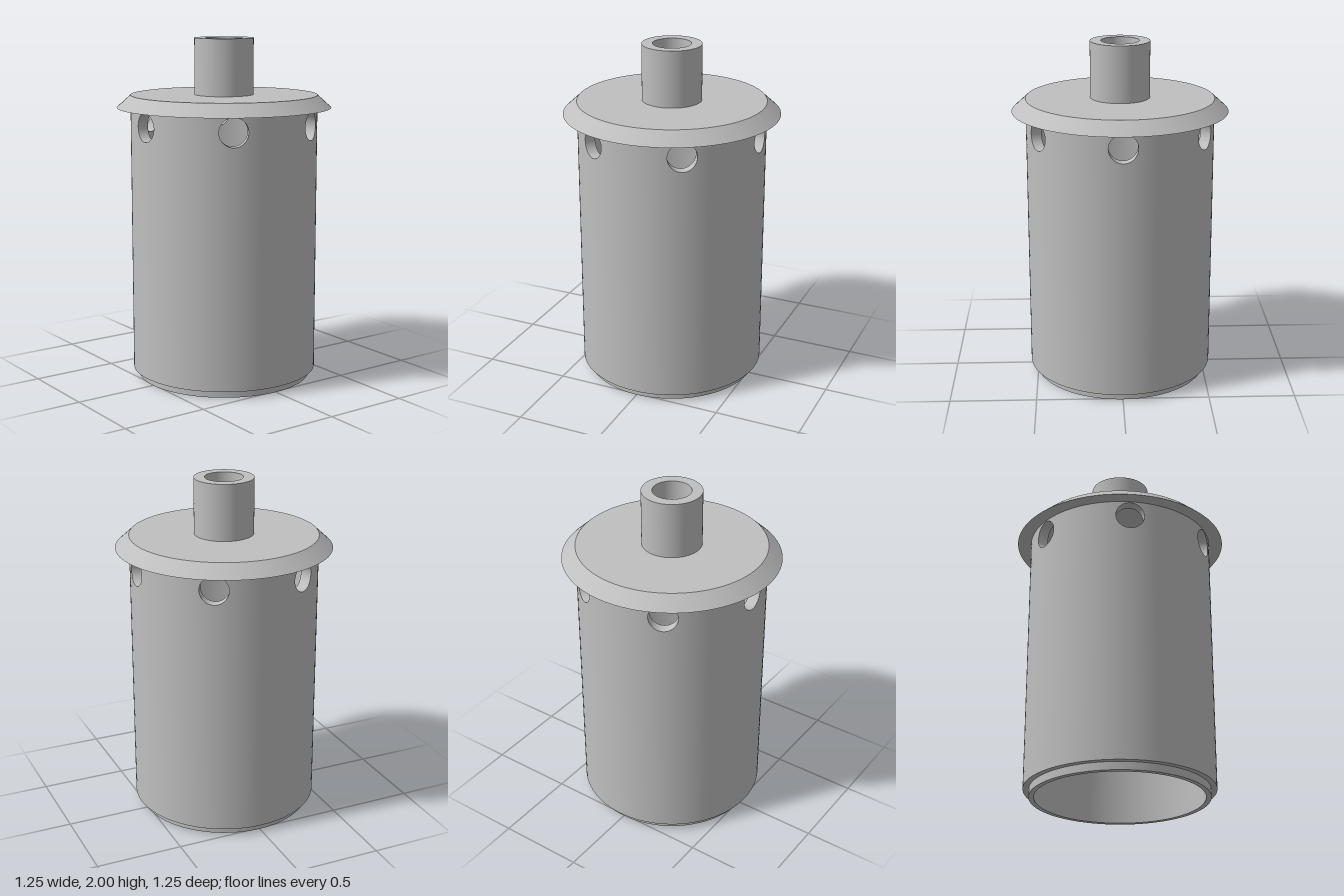
import * as THREE from 'three';
import { mergeGeometries } from 'three/addons/utils/BufferGeometryUtils.js';

const SEGMENTS = 96;
const OUTER = 0.544, INNER = 0.48;               // wall radii
const HOLE_R = 0.082, HOLE_Y = 1.512;            // side holes
const BAND_LOW = 1.4, BAND_TOP = 1.6;            // part of the wall holding the holes
const HOLES = 6, AROUND = 64, RINGS = 6;

// Turned part with a hard edge at every profile point
function turned(profile) {
  const strips = [];
  for (let i = 0; i < profile.length - 1; i++) {
    const pair = [profile[i], profile[i + 1]].map(([r, y]) => new THREE.Vector2(r, y));
    strips.push(new THREE.LatheGeometry(pair, SEGMENTS));
  }
  return mergeGeometries(strips);
}

// Closed-loop grid; point(i, j) gives a position, i running around and j across
function loopGrid(rows, point, flip) {
  const positions = [], index = [];
  for (let j = 0; j <= rows; j++)
    for (let i = 0; i < AROUND; i++) positions.push(...point(i, j));
  for (let j = 0; j < rows; j++)
    for (let i = 0; i < AROUND; i++) {
      const n = (i + 1) % AROUND;
      const a = j * AROUND + i, b = j * AROUND + n;
      const c = a + AROUND, d = b + AROUND;
      if (flip) index.push(a, b, c, b, d, c);
      else index.push(a, c, b, b, c, d);
    }
  const g = new THREE.BufferGeometry();
  g.setAttribute('position', new THREE.Float32BufferAttribute(positions, 3));
  g.setIndex(index);
  g.computeVertexNormals();
  return g;
}

const onWall = (radius, angle, y) => [radius * Math.sin(angle), y, radius * Math.cos(angle)];

// Rim of a round hole, as angle and height on a wall of the given radius
function rim(radius, i) {
  const t = (i / AROUND) * Math.PI * 2 - Math.PI / 4;
  return [Math.asin((HOLE_R * Math.cos(t)) / radius), HOLE_Y + HOLE_R * Math.sin(t)];
}

// Evenly spaced border of one wall panel, starting at its lower right corner
function border(i) {
  const side = Math.floor(i / (AROUND / 4));
  const s = (i % (AROUND / 4)) / (AROUND / 4) * 2 - 1;
  const [u, v] = [[1, s], [-s, 1], [-1, -s], [s, -1]][side];
  return [u * Math.PI / HOLES, THREE.MathUtils.lerp(BAND_LOW, BAND_TOP, (v + 1) / 2)];
}

// Curved panel with a round hole in it
function panel(radius, inward) {
  const g = loopGrid(RINGS, (i, j) => {
    const [a0, y0] = rim(radius, i), [a1, y1] = border(i), k = j / RINGS;
    return onWall(radius, a0 + (a1 - a0) * k, y0 + (y1 - y0) * k);
  }, inward);
  // Exact radial normals keep neighbouring panels seamless
  const p = g.attributes.position, n = g.attributes.normal, s = inward ? -1 : 1;
  for (let i = 0; i < p.count; i++)
    n.setXYZ(i, s * p.getX(i) / radius, 0, s * p.getZ(i) / radius);
  return g;
}

// Side of the hole through the wall
function holeLining() {
  return loopGrid(1, (i, j) => {
    const radius = j ? OUTER : INNER;
    return onWall(radius, ...rim(radius, i));
  }, false);
}

export function createModel() {
  const grey = new THREE.MeshStandardMaterial({ color: 0xbfbfbf });
  grey.name = 'grey';
  const model = new THREE.Group();
  model.name = 'ventedHousing';
  const add = (name, geometry, parent = model) => {
    const mesh = new THREE.Mesh(geometry, grey);
    mesh.name = name;
    parent.add(mesh);
    return mesh;
  };

  // Hollow body with a stepped lip at the open bottom
  add('body', turned([
    [INNER, BAND_LOW], [INNER, 0], [0.51, 0], [0.51, 0.045],
    [OUTER, 0.045], [OUTER, BAND_LOW],
  ]));

  // Ring of six side holes under the cap
  const band = new THREE.Group();
  band.name = 'ventBand';
  model.add(band);
  const section = mergeGeometries([panel(OUTER, false), panel(INNER, true), holeLining()]);
  // Panel borders run counterclockwise seen from outside, so check the facing once
  const idx = section.index, p = section.attributes.position;
  const [a, b, c] = [0, 1, 2].map(k => new THREE.Vector3().fromBufferAttribute(p, idx.getX(k)));
  const facing = b.clone().sub(a).cross(c.clone().sub(a));
  if (facing.z < 0) {
    for (let i = 0; i < idx.count; i += 3) {
      const t = idx.getX(i + 1);
      idx.setX(i + 1, idx.getX(i + 2));
      idx.setX(i + 2, t);
    }
    // The lining's computed normals turn round with its faces
    const n = section.attributes.normal, start = 2 * AROUND * (RINGS + 1);
    for (let i = start; i < n.count; i++) n.setXYZ(i, -n.getX(i), -n.getY(i), -n.getZ(i));
  }
  for (let k = 0; k < HOLES; k++)
    add('ventSection', section, band).rotation.y = Math.PI / 2 + k * Math.PI * 2 / HOLES;

  // Bevelled cap with its hollow neck
  add('capAndNeck', turned([
    [0.11, BAND_TOP], [0.624, BAND_TOP], [0.544, 1.673], [0.172, 1.673],
    [0.172, 2], [0.11, 2], [0.11, BAND_TOP],
  ]));
  return model;
}
